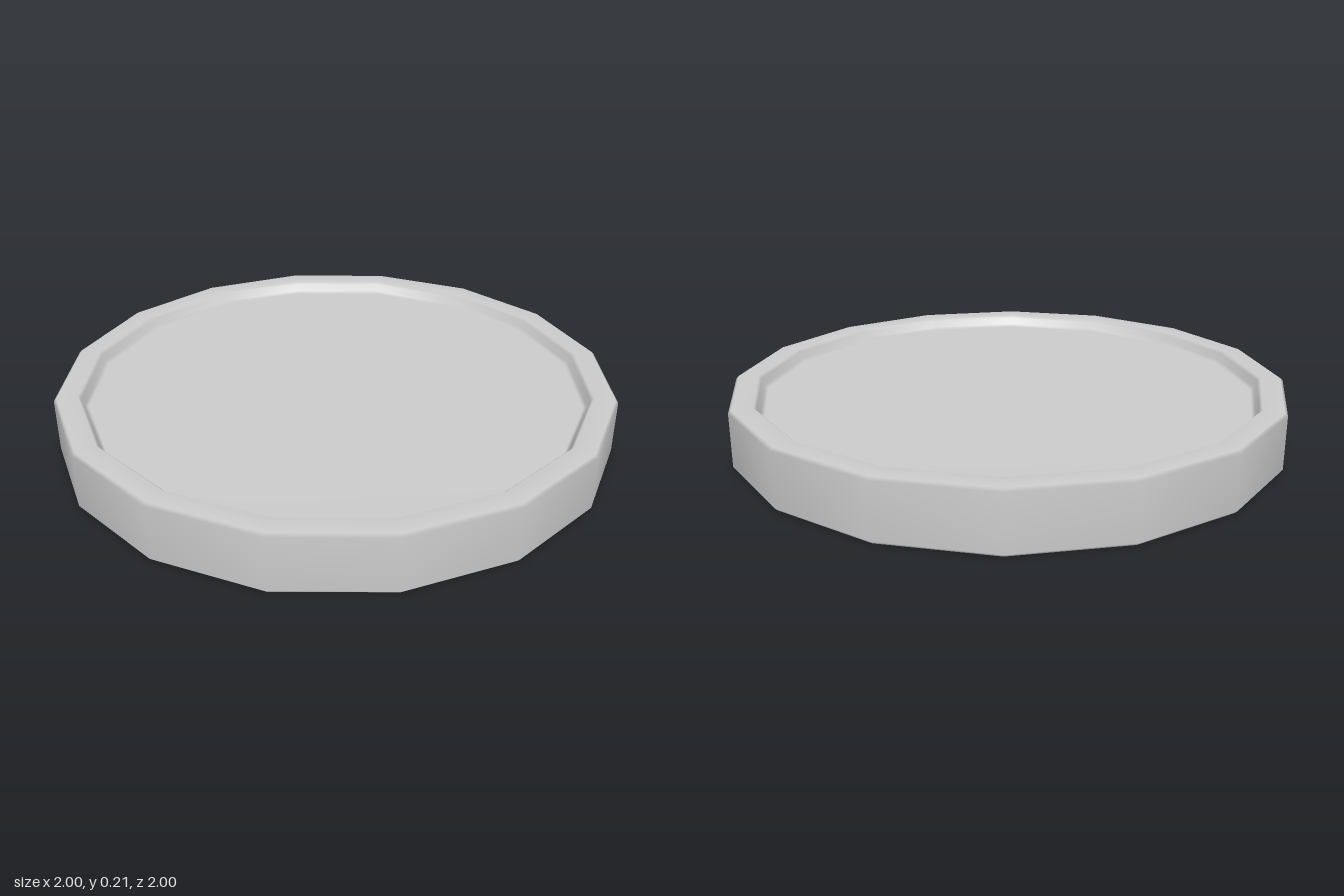
import * as THREE from 'three';

const HEIGHT = 0.21;
const SIDES = 16;

// Upper half of the cross-section: [radius, height above mid-plane], from the edge inwards
const H = HEIGHT / 2;
const DEPTH = 0.045;
const upper = [
  [1.0, H - 0.01],            // outer wall top
  [0.99, H],                  // outer bevel
  [0.917, H],                 // flat rim
  [0.907, H - 0.01],          // inner bevel
  [0.897, H - DEPTH + 0.01],  // recess wall
  [0.885, H - DEPTH],         // fillet into the floor
  [0, H - DEPTH],             // recessed floor
];

export function createModel() {
  const group = new THREE.Group();
  group.name = 'disc';

  // Mirror the half section so both faces are recessed alike
  const lower = upper.map(([r, y]) => [r, -y]).reverse();
  const profile = [...lower, ...upper].map(([r, y]) => new THREE.Vector2(r, y + H));

  const coin = new THREE.Mesh(
    new THREE.LatheGeometry(profile, SIDES),
    new THREE.MeshStandardMaterial({ color: 0xcccccc })
  );
  coin.name = 'rimmedCoin';
  group.add(coin);
  return group;
}
